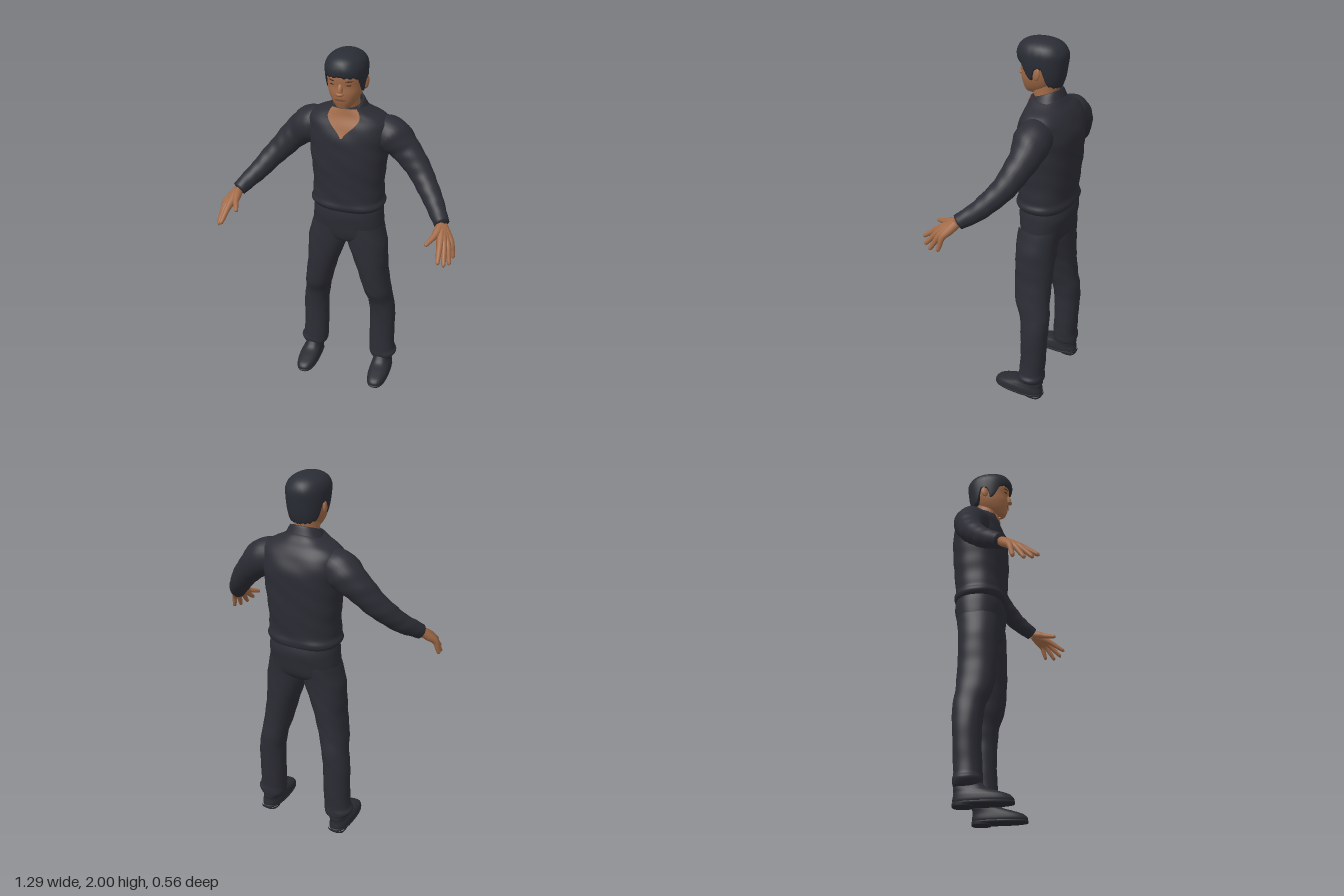
import * as THREE from 'three';
import { mergeVertices } from 'three/addons/utils/BufferGeometryUtils.js';

const TAU = Math.PI * 2;
const mat = (name, color, side = THREE.FrontSide) => {
  const m = new THREE.MeshStandardMaterial({ color, side });
  m.name = name;
  return m;
};

// Overshoot-free smooth interpolation through a list of number rows.
function sample(rows, u) {
  const n = rows.length - 1;
  const i = Math.min(Math.floor(u), n - 1), t = u - i;
  const slope = (k, c) => {
    if (k <= 0) return rows[1][c] - rows[0][c];
    if (k >= n) return rows[n][c] - rows[n - 1][c];
    const a = rows[k][c] - rows[k - 1][c], b = rows[k + 1][c] - rows[k][c];
    return a * b <= 0 ? 0 : (2 * a * b) / (a + b);
  };
  return rows[i].map((p, c) => {
    const q = rows[i + 1][c], t2 = t * t, t3 = t2 * t;
    return p * (2 * t3 - 3 * t2 + 1) + slope(i, c) * (t3 - 2 * t2 + t)
      + q * (3 * t2 - 2 * t3) + slope(i + 1, c) * (t3 - t2);
  });
}

// Row position of a height, for rows that rise in y.
function rowAt(rows, y) {
  let a = 0, b = rows.length - 1;
  for (let k = 0; k < 30; k++) {
    const m = (a + b) / 2;
    if (sample(rows, m)[0] < y) a = m; else b = m;
  }
  return a;
}

// Grid surface from point(s, t): s runs around, t runs upward.
function grid(ns, nt, point) {
  const pos = [], idx = [];
  for (let i = 0; i <= nt; i++) for (let j = 0; j <= ns; j++) pos.push(...point(j / ns, i / nt));
  for (let i = 0; i < nt; i++) for (let j = 0; j < ns; j++) {
    const a = i * (ns + 1) + j, c = a + ns + 1;
    idx.push(a, a + 1, c + 1, a, c + 1, c);
  }
  let g = new THREE.BufferGeometry();
  g.setAttribute('position', new THREE.Float32BufferAttribute(pos, 3));
  g.setIndex(idx);
  g = mergeVertices(g, 1e-5);
  g.computeVertexNormals();
  return g;
}

// Point on a body of horizontal sections [y, cx, cz, rx, rz]; angle 0 is the front.
function bodyPoint(rows, u, a, { n = 2.2, fold = 0, offset = 0 } = {}) {
  const [y, cx, cz, rx, rz] = sample(rows, u);
  const p = v => Math.sign(v) * Math.abs(v) ** (2 / n);
  const k = 1 + fold * Math.sin(y * 42 + 3 * a + 2 * Math.sin(a * 2)) * Math.sin(y * 17 + a);
  return [cx + (rx * k + offset) * p(Math.sin(a)), y, cz + (rz * k + offset) * p(Math.cos(a))];
}
const body = (rows, opt, ns = 40, step = 5) =>
  grid(ns, (rows.length - 1) * step, (s, t) => bodyPoint(rows, t * (rows.length - 1), (s % 1) * TAU, opt));

// Thin patch on a body between two heights, spanning angles left(t)..right(t).
const patch = (rows, y0, y1, from, to, opt) => grid(12, 10, (s, t) => {
  const a = from(t), b = to(t);
  return bodyPoint(rows, rowAt(rows, y0 + (y1 - y0) * t), a + (b - a) * s, opt);
});

// Tapered limb along points [x, y, z, radius].
function limb(pts, ns = 16, nt = 24, fold = 0) {
  const curve = new THREE.CatmullRomCurve3(pts.map(p => new THREE.Vector3(p[0], p[1], p[2])));
  const f = curve.computeFrenetFrames(nt, false);
  return grid(ns, nt, (s, t) => {
    const i = Math.round(t * nt), a = (s % 1) * TAU, c = curve.getPointAt(t);
    let r = sample(pts, curve.getUtoTmapping(t) * (pts.length - 1))[3];
    r *= i === 0 || i === nt ? 0 : 1 + fold * Math.sin(t * 38 + 2 * a) * Math.sin(t * 15 + a);
    return c.addScaledVector(f.normals[i], r * Math.cos(a)).addScaledVector(f.binormals[i], r * Math.sin(a)).toArray();
  });
}

export function createModel() {
  const model = new THREE.Group();
  const shirt = mat('shirt cloth', 0x2c2d35, THREE.DoubleSide);
  const cloth = mat('trouser cloth', 0x2c2d35);
  const leather = mat('shoe leather', 0x2a2b32);
  const hairMat = mat('hair', 0x2a2d35, THREE.DoubleSide);
  const skin = mat('skin', 0xa26b48);
  const lip = mat('lips', 0x85503c);
  const dark = mat('eyes and brows', 0x3a2a24);
  const add = (name, geometry, material) => {
    const m = new THREE.Mesh(geometry, material);
    m.name = name;
    model.add(m);
    return m;
  };

  // Shirt body with a loose hem and sloping shoulders
  const torso = [
    [1.125, 0, -0.118, 0.16, 0.11], [1.14, 0, -0.118, 0.19, 0.134], [1.165, 0, -0.115, 0.203, 0.143],
    [1.2, 0, -0.115, 0.192, 0.137], [1.3, 0, -0.12, 0.192, 0.143], [1.42, 0, -0.122, 0.2, 0.149],
    [1.53, 0, -0.127, 0.212, 0.15], [1.61, 0, -0.124, 0.215, 0.13], [1.655, 0, -0.12, 0.185, 0.108],
    [1.685, 0, -0.11, 0.13, 0.09], [1.712, 0, -0.1, 0.08, 0.076], [1.72, 0, -0.095, 0.045, 0.045],
  ];
  add('shirtBody', body(torso, { n: 2.4, fold: 0.018 }, 56, 6), shirt);

  // Open neckline
  add('neckline', patch(torso, 1.568, 1.712, t => -0.75 * t ** 1.5 - 0.01, t => 0.75 * t ** 1.5 + 0.01,
    { n: 2.4, fold: 0.018, offset: 0.005 }), skin);

  // Folded collar, lower in front, open at the throat
  const collar = [[1.66, 0, -0.1, 0.078, 0.074], [1.728, 0, -0.1, 0.069, 0.068],
    [1.733, 0, -0.1, 0.076, 0.074], [1.685, 0, -0.1, 0.104, 0.092]];
  add('collar', grid(40, 15, (s, t) => {
    const p = bodyPoint(collar, t * 3, 0.55 + s * (TAU - 1.1));
    p[1] -= 0.36 * (p[2] + 0.1) + 0.02 * t * Math.max(0, Math.abs(s - 0.5) * 2 - 0.75) * 4;
    return p;
  }), shirt);

  // Neck and head
  add('neck', body([[1.6, 0, -0.1, 0.06, 0.05], [1.68, 0, -0.1, 0.062, 0.055],
    [1.74, 0, -0.09, 0.06, 0.065], [1.8, 0, -0.095, 0.06, 0.07]], {}, 28), skin);
  const head = [
    [1.72, 0, -0.025, 0.008, 0.012], [1.727, 0, -0.028, 0.032, 0.038], [1.745, 0, -0.045, 0.053, 0.065],
    [1.775, 0, -0.058, 0.072, 0.087], [1.81, 0, -0.065, 0.085, 0.098], [1.85, 0, -0.073, 0.092, 0.105],
    [1.89, 0, -0.073, 0.095, 0.11], [1.95, 0, -0.075, 0.08, 0.095], [1.98, 0, -0.075, 0.03, 0.04],
  ];
  add('head', body(head, {}, 40), skin);

  // Face: nose, lips, eyes, brows, ears
  const nose = add('nose', new THREE.SphereGeometry(1, 16, 12), skin);
  nose.scale.set(0.014, 0.034, 0.017);
  nose.position.set(0, 1.832, 0.032);
  nose.rotation.x = -0.25;
  const noseTip = add('noseTip', new THREE.SphereGeometry(1, 16, 12), skin);
  noseTip.scale.set(0.02, 0.011, 0.015);
  noseTip.position.set(0, 1.812, 0.04);
  const band = (name, y0, y1, a0, a1, material) => {
    const mid = (a0 + a1) / 2, half = (a1 - a0) / 2;
    const w = t => half * (0.35 + 0.65 * Math.sin(Math.PI * t));
    add(name, patch(head, y0, y1, t => mid - w(t), t => mid + w(t), { offset: 0.003 }), material);
  };
  band('lips', 1.772, 1.784, -0.36, 0.36, lip);
  for (const s of [-1, 1]) {
    band('eye', 1.853, 1.86, s * 0.43 - 0.14, s * 0.43 + 0.14, dark);
    band('eyebrow', 1.874, 1.88, s * 0.45 - 0.2, s * 0.45 + 0.2, dark);
    const ear = add('ear', new THREE.SphereGeometry(1, 14, 12), skin);
    ear.scale.set(0.01, 0.033, 0.02);
    ear.position.set(s * 0.096, 1.843, -0.088);
    ear.rotation.set(-0.15, s * -0.3, 0);
  }

  // Hair cap whose lower edge follows the hairline
  const hair = [
    [1.76, 0, -0.08, 0.08, 0.092], [1.8, 0, -0.08, 0.093, 0.106], [1.86, 0, -0.077, 0.1, 0.121],
    [1.92, 0, -0.074, 0.104, 0.13], [1.96, 0, -0.072, 0.092, 0.116], [1.985, 0, -0.07, 0.064, 0.085],
    [1.996, 0, -0.07, 0.035, 0.048], [2, 0, -0.07, 0.001, 0.001],
  ];
  const hairline = [[0, 1.9], [0.75, 1.895], [1.0, 1.875], [1.2, 1.815], [1.42, 1.81], [1.55, 1.865],
    [1.85, 1.865], [2.05, 1.79], [2.5, 1.772], [3.2, 1.768]];
  const edgeY = a => {
    const i = hairline.findIndex(h => h[0] > a), [a0, y0] = hairline[i - 1], [a1, y1] = hairline[i];
    return y0 + (y1 - y0) * (a - a0) / (a1 - a0) + 0.004 * Math.sin(a * 22);
  };
  add('hair', grid(72, 25, (s, t) => {
    const a = (s % 1) * TAU, u0 = rowAt(hair, edgeY(Math.min(a, TAU - a)));
    const v = Math.max(0, (t - 0.04) / 0.96);
    return bodyPoint(hair, u0 + (hair.length - 1 - u0) * v, a, { fold: 0.008, offset: t === 0 ? -0.02 : 0 });
  }), hairMat);

  // Trouser seat
  add('trouserSeat', body([
    [0.915, 0, -0.11, 0.03, 0.05], [0.93, 0, -0.11, 0.11, 0.085], [0.97, 0, -0.115, 0.195, 0.112],
    [1.04, 0, -0.118, 0.196, 0.126], [1.1, 0, -0.12, 0.19, 0.135], [1.15, 0, -0.118, 0.182, 0.128],
  ], { n: 2.4, fold: 0.008 }, 48), cloth);

  for (const s of [-1, 1]) {
    // Trouser leg, bunched at the ankle
    const leg = [
      [0.088, 0.212, -0.132, 0.045, 0.045], [0.1, 0.212, -0.132, 0.068, 0.068], [0.13, 0.217, -0.13, 0.08, 0.072],
      [0.16, 0.21, -0.13, 0.073, 0.069], [0.25, 0.206, -0.136, 0.074, 0.069], [0.4, 0.205, -0.14, 0.072, 0.073],
      [0.5, 0.193, -0.137, 0.072, 0.081], [0.6, 0.175, -0.114, 0.076, 0.095], [0.7, 0.155, -0.107, 0.082, 0.1],
      [0.8, 0.135, -0.105, 0.095, 0.105], [0.92, 0.112, -0.107, 0.109, 0.108], [1.03, 0.1, -0.115, 0.095, 0.112],
    ].map(([y, x, ...r]) => [y, x * s, ...r]);
    add('trouserLeg', body(leg, { fold: 0.022 }, 36, 6), cloth);

    // Shoe and sole
    const shoe = [
      [0.012, 0.222, -0.052, 0.055, 0.142], [0.03, 0.222, -0.053, 0.06, 0.146], [0.05, 0.222, -0.06, 0.058, 0.136],
      [0.068, 0.22, -0.085, 0.053, 0.11], [0.085, 0.218, -0.115, 0.049, 0.083], [0.13, 0.215, -0.132, 0.045, 0.06],
    ].map(([y, x, ...r]) => [y, x * s, ...r]);
    add('shoe', body(shoe, { n: 2.5 }, 36), leather);
    const x = 0.222 * s;
    add('sole', body([[0.008, x, -0.052, 0.001, 0.001], [0.008, x, -0.052, 0.058, 0.146],
      [0.02, x, -0.052, 0.061, 0.148], [0.021, x, -0.052, 0.05, 0.13]], { n: 2.5 }, 36, 2), leather);
    add('heel', body([[0, x, -0.15, 0.001, 0.001], [0, x, -0.15, 0.05, 0.05],
      [0.014, x, -0.15, 0.052, 0.05]], { n: 2.8 }, 28, 2), leather);

    // Sleeve
    const side = pts => pts.map(([px, ...r]) => [px * s, ...r]);
    add('sleeve', limb(side([
      [0.13, 1.585, -0.125, 0.08], [0.215, 1.555, -0.135, 0.095], [0.3, 1.487, -0.13, 0.076],
      [0.4, 1.38, -0.085, 0.061], [0.48, 1.29, -0.01, 0.051], [0.558, 1.212, 0.093, 0.038],
    ]), 28, 60, 0.035), shirt);

    // Hand: each digit runs from the wrist so the palm fills in
    const digits = [
      ['thumb', [0.535, 1.192, 0.17], [0.504, 1.168, 0.236]],
      ['indexFinger', [0.57, 1.158, 0.2], [0.58, 1.1, 0.28]],
      ['middleFinger', [0.589, 1.152, 0.186], [0.607, 1.075, 0.255]],
      ['ringFinger', [0.605, 1.148, 0.165], [0.628, 1.065, 0.215]],
      ['littleFinger', [0.616, 1.152, 0.14], [0.636, 1.075, 0.16]],
    ];
    const wrist = [0.553, 1.218, 0.088];
    for (const [name, k, tip] of digits) {
      const mix = (a, b, t) => a.map((v, i) => v + (b[i] - v) * t);
      add(name, limb(side([[...wrist, 0.024], [...mix(wrist, k, 0.55), 0.022], [...k, 0.016],
        [...mix(k, tip, 0.55), 0.0125], [...tip, 0.009]]), 12, 24), skin);
    }
  }
  return model;
}
